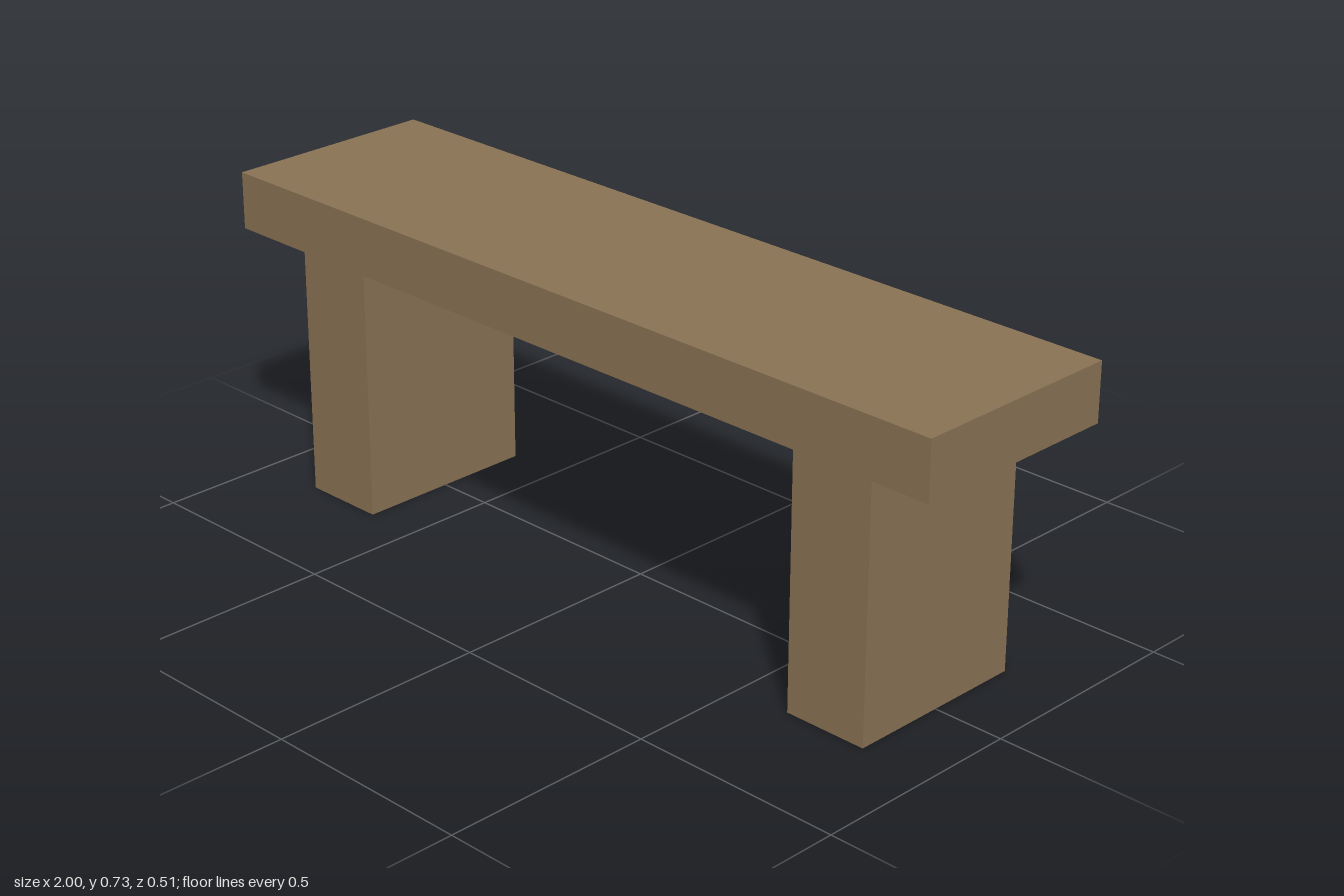
import * as THREE from 'three';

export function createModel() {
  const bench = new THREE.Group();
  bench.name = 'bench';

  const wood = new THREE.MeshStandardMaterial({ color: 0x8b7355 });
  wood.name = 'brown wood';

  const legHeight = 0.6;
  const seatThickness = 0.133;

  function addBox(name, width, height, depth, x, y) {
    const mesh = new THREE.Mesh(new THREE.BoxGeometry(width, height, depth), wood);
    mesh.name = name;
    mesh.position.set(x, y, 0);
    bench.add(mesh);
  }

  // Seat slab
  addBox('seat', 2, seatThickness, 0.507, 0, legHeight + seatThickness / 2);

  // Two slab legs, set in from the ends
  for (const side of [-1, 1]) {
    addBox(side > 0 ? 'leftLeg' : 'rightLeg', 0.2, legHeight, 0.44, side * 0.733, legHeight / 2);
  }

  return bench;
}
